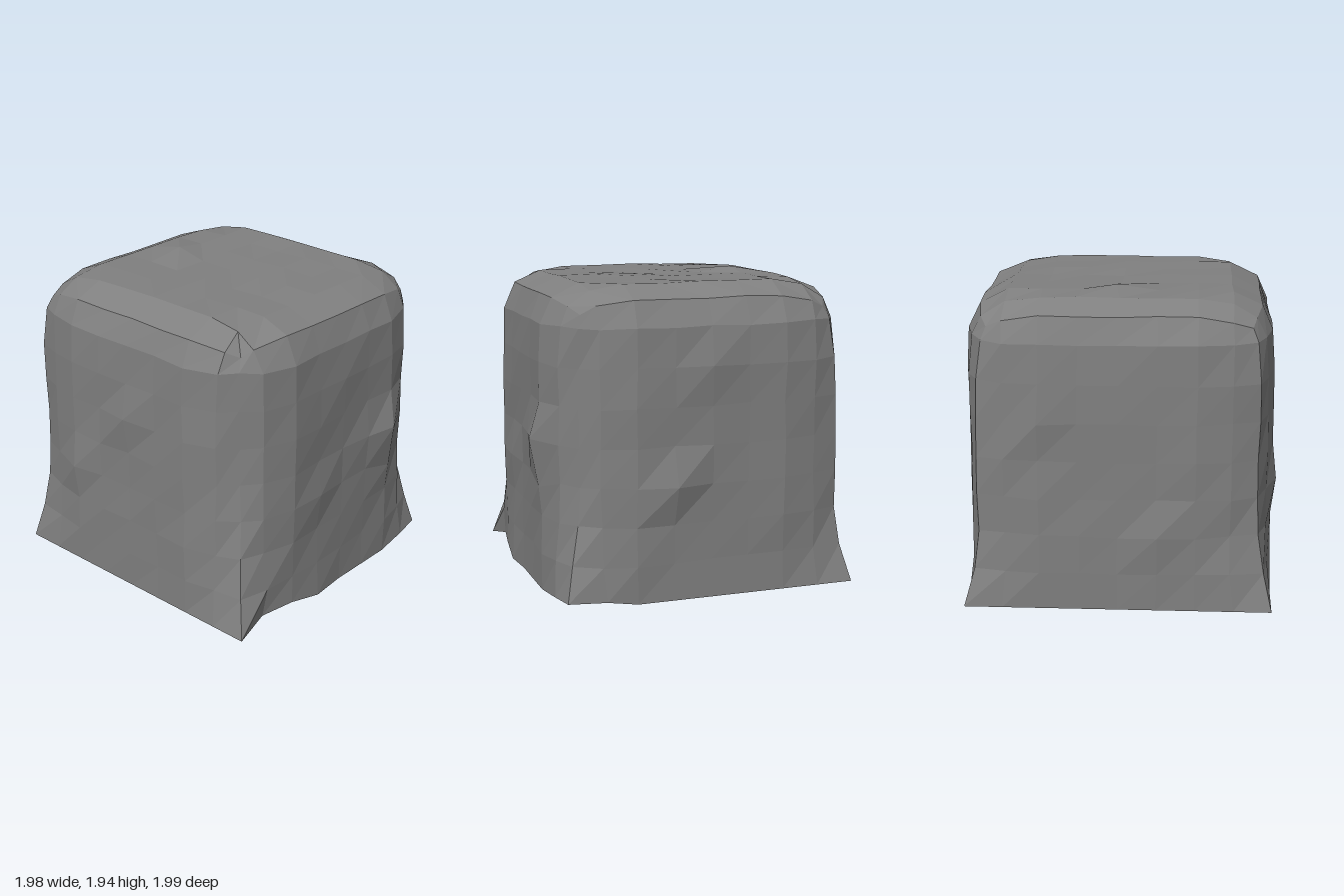
import * as THREE from 'three';

const N = 8;

// How far each upright edge is worn in, from the foot to the top
const wear = {
  frontLeft: [0, 0.1, 0.14, 0.155, 0.16, 0.16, 0.16, 0.16, 0.17],
  frontRight: [0, 0.07, 0.12, 0.145, 0.16, 0.165, 0.165, 0.17, 0.195],
  backLeft: [0, 0.06, 0.09, 0.09, 0.09, 0.09, 0.1, 0.13, 0.16],
  backRight: [0, 0.05, 0.09, 0.095, 0.1, 0.1, 0.1, 0.12, 0.155],
};

// Repeatable small offset for a grid point
function jitter(i, j, k, s) {
  const v = Math.sin(i * 12.99 + j * 78.23 + k * 37.72 + s * 11.1) * 43758.55;
  return (v - Math.floor(v) - 0.5) * 0.014;
}

// Grid points with their own bulge: [i, j, k, dx, dy, dz]
const bumps = [
  [6, 4, 8, -0.02, 0, 0.065], [6, 3, 8, 0, -0.05, 0.015], [5, 4, 8, 0, 0, 0.02],
  [3, 3, 8, 0, 0, 0.02], [8, 3, 5, 0.045, 0, 0], [8, 6, 4, 0.03, 0, 0],
  [0, 3, 2, -0.03, 0, 0], [0, 5, 4, -0.03, 0, 0],
  [3, 2, 0, 0, 0, -0.03], [6, 5, 0, 0, 0, -0.02],
  [4, 8, 2, 0.03, 0.04, 0], [5, 8, 2, 0, 0.01, 0],
  [1, 0, 8, 0, 0.05, -0.04], [2, 0, 8, 0, 0.05, 0], [3, 0, 8, 0, 0, 0.02],
  [8, 0, 8, -0.05, 0.03, -0.05], [7, 0, 8, 0, 0.02, -0.02], [8, 0, 7, -0.02, 0.025, -0.05],
];

// Moves one point of the cube grid to its place on the rock
function shape(i, j, k) {
  const edgeX = i === 0 || i === N, edgeZ = k === 0 || k === N, top = j === N;
  const nearX = i === 1 || i === 7, nearZ = k === 1 || k === 7;
  const sx = Math.sign(i - 4), sz = Math.sign(k - 4);
  const pull = wear[(k > 4 ? 'front' : 'back') + (i > 4 ? 'Left' : 'Right')][j];
  let x = (i / 4 - 1) * 0.95, y = j * 0.2385, z = (k / 4 - 1) * 0.95;

  if (edgeX && edgeZ) {
    // upright edges are rounded, but flare out to square corners at the foot
    x -= sx * pull;
    z -= sz * pull;
    if (top) y -= 0.16;
  } else if (edgeX || edgeZ) {
    // columns next to the upright edges step in, and the top has a rounded rim
    const beside = edgeX ? nearZ : nearX;
    const inset = (beside ? pull * 0.4 : 0) + (top ? 0.08 - (beside ? 0.02 : 0) : j === 7 ? 0.012 : 0);
    if (edgeX) x -= sx * inset;
    else z -= sz * inset;
    if (top) y -= beside ? 0.115 : 0.08;
  } else if (top && nearX && nearZ) {
    y -= 0.035;
  }
  if (nearX && j > 0) x -= sx * 0.025;
  if (nearZ && j > 0) z -= sz * 0.025;

  // gentle unevenness above the foot
  if (j > 0) {
    x += jitter(i, j, k, 1);
    y += jitter(i, j, k, 2);
    z += jitter(i, j, k, 3);
  }
  for (const [a, b, c, dx, dy, dz] of bumps) {
    if (a === i && b === j && c === k) { x += dx; y += dy; z += dz; }
  }
  return [x - 0.01, y, z - 0.015];
}

export function createModel() {
  const group = new THREE.Group();
  group.name = 'rock';
  const stone = new THREE.MeshStandardMaterial({ color: 0x808080, flatShading: true });
  stone.name = 'stone grey';

  // Cube block of eight segments a side, worn into a boulder
  const geometry = new THREE.BoxGeometry(2, 2, 2, N, N, N);
  const p = geometry.attributes.position;
  for (let n = 0; n < p.count; n++) {
    const [i, j, k] = [p.getX(n), p.getY(n), p.getZ(n)].map((v) => Math.round((v + 1) * 4));
    p.setXYZ(n, ...shape(i, j, k));
  }
  const flat = geometry.toNonIndexed();
  flat.computeVertexNormals();

  const block = new THREE.Mesh(flat, stone);
  block.name = 'stoneBlock';
  group.add(block);
  return group;
}
